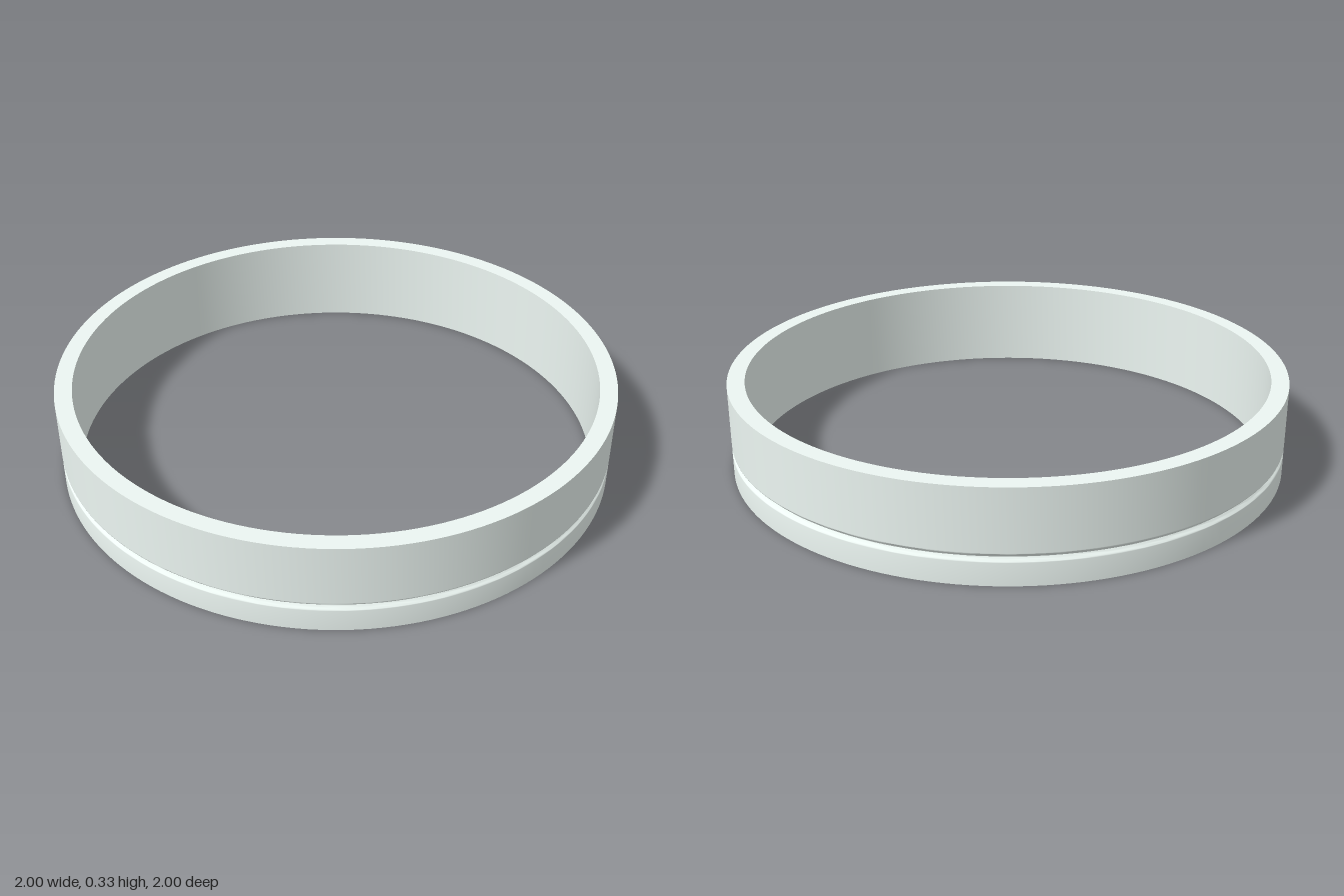
import * as THREE from 'three';
import { toCreasedNormals } from 'three/addons/utils/BufferGeometryUtils.js';

export function createModel() {
  const group = new THREE.Group();
  group.name = 'ring';

  const outer = 1, inner = 0.938, height = 0.331;
  const grooveY = 0.095, grooveHalf = 0.015, grooveDepth = 0.013, grooveSteps = 12;

  // Softly rounded groove running around the outer wall
  const groove = [];
  for (let i = 0; i <= grooveSteps; i++) {
    const t = (2 * i) / grooveSteps - 1;
    const depth = grooveDepth * (0.5 + 0.5 * Math.cos(Math.PI * t));
    groove.push([outer - depth, grooveY + grooveHalf * t]);
  }

  // Closed band section: outer wall, top rim, bore, bottom rim;
  // a narrow strip on each side of the groove keeps the walls evenly shaded
  const strip = grooveHalf + 0.002;
  const profile = [
    [outer, 0],
    [outer, grooveY - strip],
    ...groove,
    [outer, grooveY + strip],
    [outer, height],
    [inner, height],
    [inner, 0],
    [outer, 0],
  ].map(([x, y]) => new THREE.Vector2(x, y));

  const geometry = toCreasedNormals(new THREE.LatheGeometry(profile, 160), 0.6);
  const band = new THREE.Mesh(geometry, new THREE.MeshStandardMaterial({ color: 0xecf6f2 }));
  band.name = 'groovedBand';
  group.add(band);

  return group;
}
